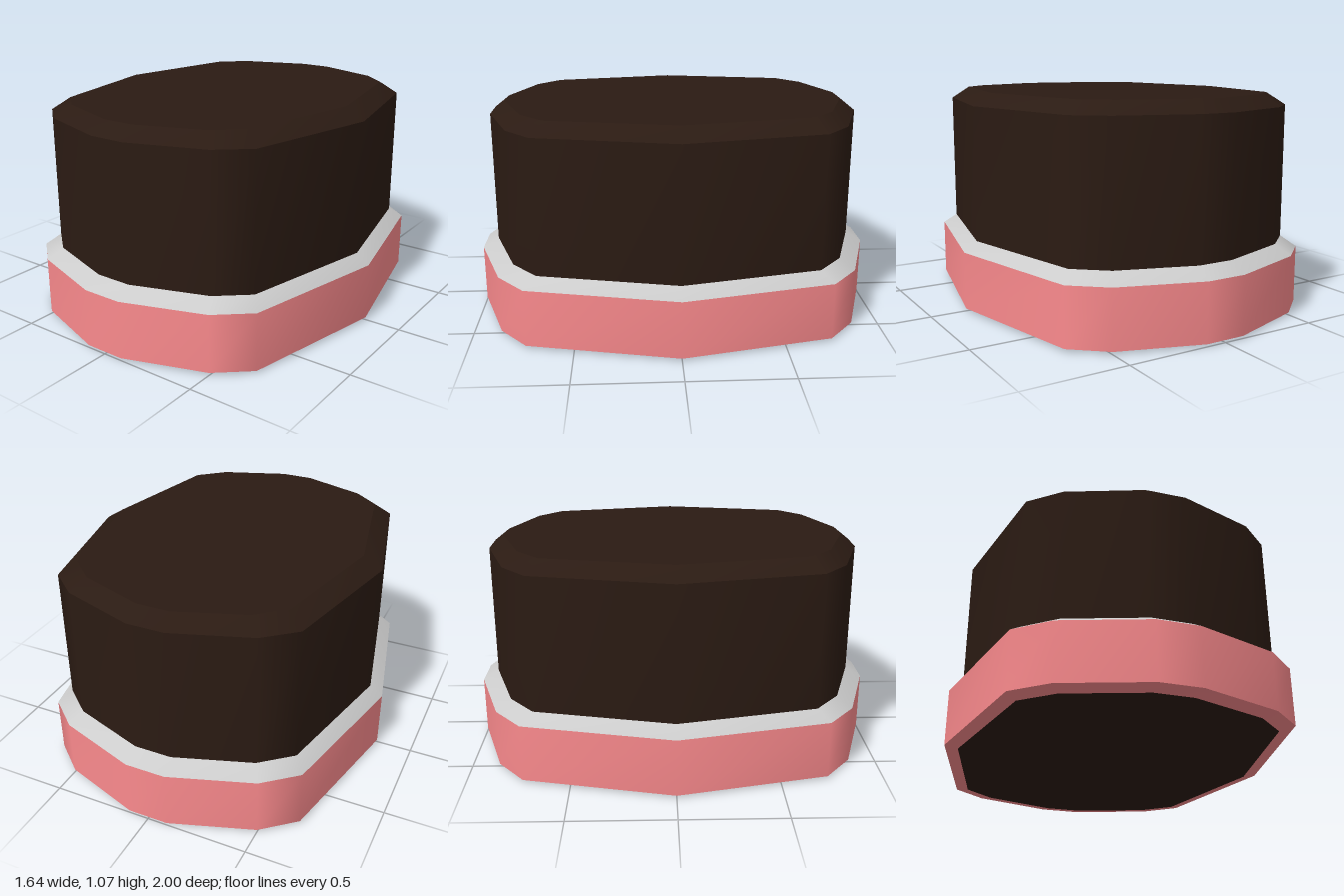
import * as THREE from 'three';

// Quarter of the faceted oval outline [x, z], mirrored into a closed loop
const quarter = [[0.82, 0], [0.66, 0.73], [0.5, 0.865], [0.1, 1]];
const half = [...quarter, ...quarter.slice(1).reverse().map(([x, z]) => [-x, z])];
const outline = [...half, ...half.map(([x, z]) => [-x, -z])]
  .concat([]);
outline.splice(half.length, 0, [-0.82, 0]);
// drop the doubled side point
outline.splice(half.length, 1);

// Rings are [y, scaleX, scaleZ], listed from bottom to top
const rim = [0.295, 1, 1];
const base = [0, 0.92, 0.92];
const seam = [0.345, 0.92, 0.92];
const shoulder = [1.005, 0.92, 0.92];
const top = [1.065, 0.805, 0.845];

// One smooth band between two rings; a ring of scale 0 closes it as a cap
function band(name, lower, upper, material) {
  const n = outline.length;
  const pos = [], index = [];
  for (const [y, sx, sz] of [lower, upper])
    for (const [x, z] of outline) pos.push(x * sx, y, z * sz);
  for (let i = 0; i < n; i++) {
    const j = (i + 1) % n;
    if (lower[1] > 0) index.push(i, n + i, j);
    if (upper[1] > 0) index.push(j, n + i, n + j);
  }
  const g = new THREE.BufferGeometry();
  g.setAttribute('position', new THREE.Float32BufferAttribute(pos, 3));
  g.setIndex(index);
  g.computeVertexNormals();
  const mesh = new THREE.Mesh(g, material);
  mesh.name = name;
  return mesh;
}

export function createModel() {
  const model = new THREE.Group();
  model.name = 'ovalBlock';
  const dark = new THREE.MeshStandardMaterial({ color: 0x2b1b13 });
  const pink = new THREE.MeshStandardMaterial({ color: 0xfa8a8d });
  const grey = new THREE.MeshStandardMaterial({ color: 0xcccccc });

  // Dark upper body with chamfered top, and the flat underside
  model.add(
    band('bodyWall', seam, shoulder, dark),
    band('bodyChamfer', shoulder, top, dark),
    band('bodyTop', top, [top[0], 0, 0], dark),
    band('underside', [0, 0, 0], base, dark),
  );
  // Pink base band and its thin lower lip
  model.add(
    band('baseLip', base, [0.012, 1, 1], pink),
    band('baseWall', [0.012, 1, 1], rim, pink),
  );
  // Sloped grey trim between base and body
  model.add(band('trim', rim, seam, grey));
  return model;
}
